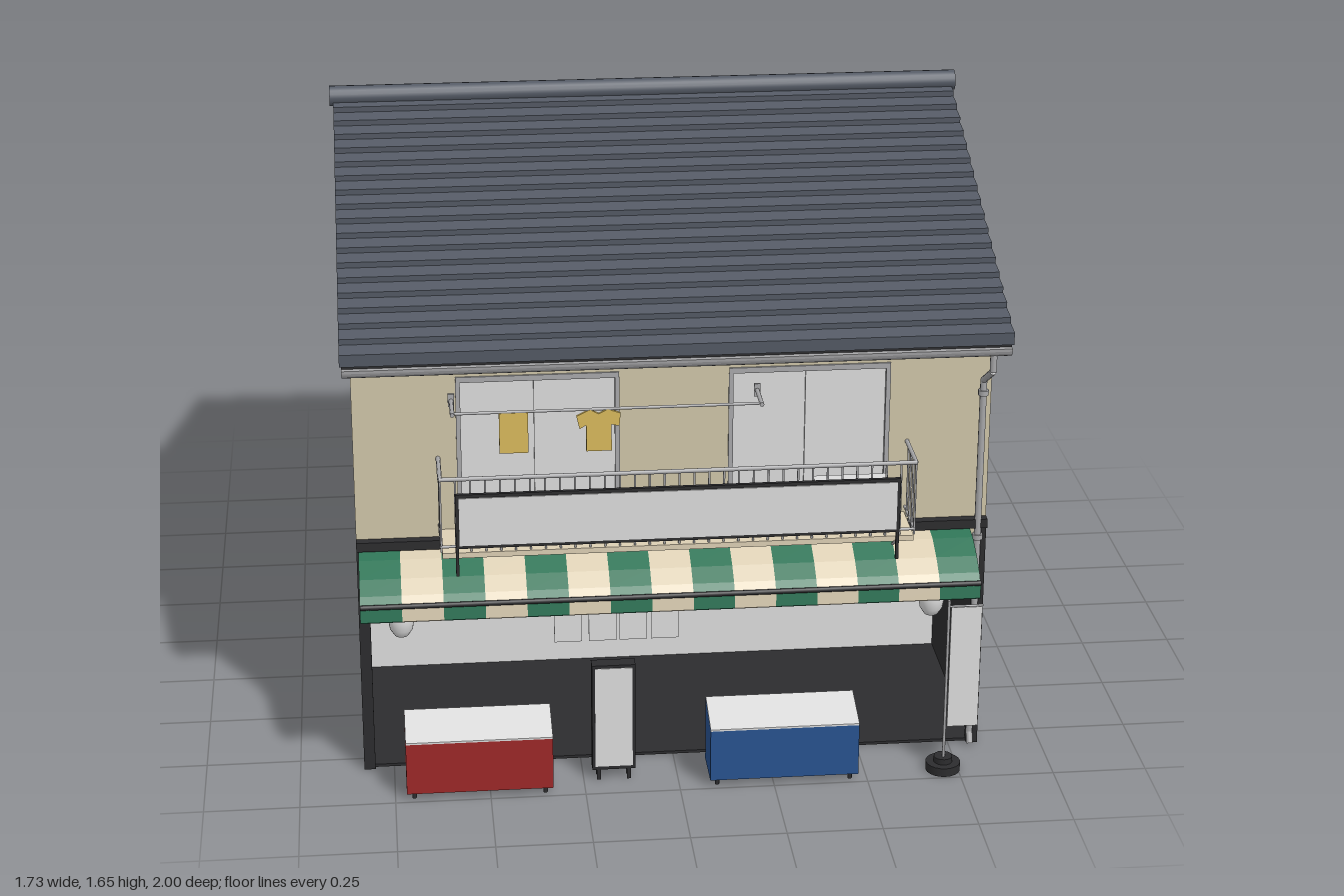
import * as THREE from 'three';

const mat = (name, color, double) => {
  const m = new THREE.MeshStandardMaterial({ color });
  m.name = name;
  if (double) m.side = THREE.DoubleSide;
  return m;
};

export function createModel() {
  const M = {
    wall: mat('beige plaster', 0xcfc5a8),
    white: mat('off white', 0xdcdcdc, true),
    roof: mat('slate tile', 0x555b66),
    dark: mat('charcoal', 0x2c2c2e),
    green: mat('awning green', 0x2f7557),
    cream: mat('awning cream', 0xdccfb4),
    red: mat('red paint', 0x9c2828),
    blue: mat('blue paint', 0x28528f),
    yellow: mat('yellow cloth', 0xd8b95c),
    metal: mat('grey metal', 0xa8a8aa, true),
  };
  const model = new THREE.Group();
  model.name = 'shopHouse';
  const group = (name) => {
    const g = new THREE.Group();
    g.name = name;
    model.add(g);
    return g;
  };
  const add = (parent, name, geo, m) => {
    const mesh = new THREE.Mesh(geo, m);
    mesh.name = name;
    parent.add(mesh);
    return mesh;
  };
  // Box given by its limits on each axis
  const box = (parent, name, m, x0, x1, y0, y1, z0, z1) => {
    const b = add(parent, name, new THREE.BoxGeometry(x1 - x0, y1 - y0, z1 - z0), m);
    b.position.set((x0 + x1) / 2, (y0 + y1) / 2, (z0 + z1) / 2);
    return b;
  };
  // Round rod between two points
  const rod = (parent, name, m, a, b, r, sides = 8) => {
    const A = new THREE.Vector3(...a), B = new THREE.Vector3(...b);
    const c = add(parent, name, new THREE.CylinderGeometry(r, r, A.distanceTo(B), sides), m);
    c.position.copy(A).lerp(B, 0.5);
    c.quaternion.setFromUnitVectors(new THREE.Vector3(0, 1, 0), B.sub(A).normalize());
    return c;
  };
  const toShape = (pts) => new THREE.Shape(pts.map((p) => new THREE.Vector2(p[0], p[1])));
  const rectHole = (x0, x1, y0, y1) => new THREE.Path([[x0, y0], [x0, y1], [x1, y1], [x1, y0]].map((p) => new THREE.Vector2(...p)));
  // Extrude a (z, y) outline along x from x0 to x1
  const extrudeX = (parent, name, m, shape, x0, x1) => {
    const geo = new THREE.ExtrudeGeometry(shape, { depth: x1 - x0, bevelEnabled: false });
    geo.rotateY(-Math.PI / 2).translate(x1, 0, 0);
    return add(parent, name, geo, m);
  };
  const extrudeZ = (parent, name, m, shape, z0, depth) => {
    const geo = new THREE.ExtrudeGeometry(shape, { depth, bevelEnabled: false });
    return add(parent, name, geo.translate(0, 0, z0), m);
  };

  // Walls
  const walls = group('walls');
  const gable = toShape([[-0.86, 0], [0.8, 0], [0.8, 1.25], [-0.03, 1.59], [-0.86, 1.25]]);
  gable.holes.push(rectHole(-0.45, -0.24, 0.88, 1.085));
  extrudeX(walls, 'leftWall', M.wall, gable, 0.82, 0.83);
  extrudeX(walls, 'rightWall', M.wall, gable, -0.83, -0.82);
  box(walls, 'backWall', M.wall, -0.82, 0.82, 0, 1.25, -0.86, -0.85);
  const front = toShape([[-0.82, 0.55], [0.82, 0.55], [0.82, 1.24], [-0.82, 1.24]]);
  for (const s of [-1, 1]) front.holes.push(rectHole(Math.min(s * 0.15, s * 0.555), Math.max(s * 0.15, s * 0.555), 0.7, 1.11));
  extrudeZ(walls, 'frontWall', M.wall, front, 0.79, 0.01);

  // Upper sliding doors
  const doors = group('slidingDoors');
  for (const s of [-0.3525, 0.3525]) {
    box(doors, 'doorBackLeaf', M.white, s - 0.2, s + 0.01, 0.7, 1.105, 0.775, 0.783);
    box(doors, 'doorFrontLeaf', M.white, s - 0.01, s + 0.2, 0.7, 1.105, 0.785, 0.793);
    box(doors, 'doorHead', M.metal, s - 0.21, s + 0.21, 1.1, 1.115, 0.78, 0.805);
    for (const e of [-0.205, 0.205]) box(doors, 'doorJamb', M.metal, s + e - 0.006, s + e + 0.006, 0.7, 1.1, 0.78, 0.805);
  }

  // Shop room
  const shop = group('shopRoom');
  box(shop, 'floor', M.dark, -0.82, 0.82, 0, 0.008, 0.22, 0.8);
  box(shop, 'shopBackWall', M.white, -0.82, 0.82, 0.008, 0.55, 0.22, 0.228);
  box(shop, 'ceiling', M.white, -0.82, 0.82, 0.55, 0.558, 0.22, 0.79);
  for (const s of [-1, 1]) {
    box(shop, 'sideLining', M.dark, s * 0.815 - 0.004, s * 0.815 + 0.004, 0.008, 0.55, 0.228, 0.79);
    box(shop, 'frontPost', M.dark, s * 0.815 - 0.015, s * 0.815 + 0.015, 0, 0.65, 0.79, 0.812);
  }
  box(shop, 'frontBeam', M.dark, -0.83, 0.83, 0.645, 0.67, 0.795, 0.825);

  // Door curtain
  const curtain = group('doorCurtain');
  rod(curtain, 'curtainRod', M.dark, [-0.325, 0.515, 0.77], [0.03, 0.515, 0.77], 0.004);
  for (const x of [-0.278, -0.186, -0.104, -0.02]) box(curtain, 'curtainPanel', M.white, x - 0.037, x + 0.037, 0.335, 0.515, 0.768, 0.772);

  // Roof: dark slab with stepped tile courses on both slopes
  const roof = group('roof');
  const slope = 0.407, ridgeZ = -0.03, rows = 18;
  const slab = toShape([[0.93, 1.19], [0.93, 1.215], [ridgeZ, 1.605], [-1, 1.21], [-1, 1.182], [ridgeZ, 1.582]]);
  extrudeX(roof, 'roofSlab', M.dark, slab, -0.85, 0.85);
  for (const [dir, run] of [[1, 0.965], [-1, 0.968]]) {
    for (let i = 0; i < rows; i++) {
      const a = (i / rows) * run, b = ((i + 1) / rows) * run;
      const at = (d, lift) => [ridgeZ + dir * d, 1.597 - slope * d + lift];
      const pts = [at(a, 0), at(b, 0), at(b + 0.002, 0.034), at(a, 0.018)];
      if (dir > 0) pts.reverse();
      extrudeX(roof, 'tileCourse', M.roof, toShape(pts), -0.855, 0.855);
    }
  }
  rod(roof, 'ridgeTile', M.roof, [-0.865, 1.625, ridgeZ], [0.865, 1.625, ridgeZ], 0.028, 16);

  // Gutter and downpipe
  const drain = group('gutter');
  const trough = add(drain, 'gutterTrough', new THREE.CylinderGeometry(0.022, 0.022, 1.7, 12, 1, true, 0, Math.PI), M.metal);
  trough.geometry.rotateX(Math.PI / 2).rotateZ(-Math.PI / 2).rotateY(Math.PI / 2);
  trough.geometry.computeBoundingBox();
  const pipeX = 0.805;
  const pipe = [[1.18, 0.928], [1.13, 0.928], [1.065, 0.82], [0.04, 0.82], [0.01, 0.835]];
  // Trough rebuilt as a half-round section running along x
  drain.remove(trough);
  const arc = [];
  for (let i = 0; i <= 10; i++) arc.push([0.924 + 0.021 * Math.cos(-Math.PI * i / 10), 1.197 + 0.025 * Math.sin(-Math.PI * i / 10)]);
  extrudeX(drain, 'gutterTrough', M.metal, toShape(arc), -0.85, 0.85);
  for (let i = 0; i < pipe.length - 1; i++) rod(drain, 'downpipe', M.metal, [pipeX, ...pipe[i]], [pipeX, ...pipe[i + 1]], 0.009, 10);
  for (const y of [0.2, 0.62, 1.03]) rod(drain, 'pipeClip', M.metal, [pipeX, y - 0.007, 0.82], [pipeX, y + 0.007, 0.82], 0.014, 10);

  // Balcony
  const balcony = group('balcony');
  box(balcony, 'balconyFloor', M.cream, -0.61, 0.61, 0.675, 0.69, 0.8, 0.95);
  for (const y of [0.705, 0.892]) {
    const r = y > 0.8 ? 0.006 : 0.004;
    rod(balcony, 'frontRail', M.metal, [-0.615, y, 0.942], [0.615, y, 0.942], r);
    for (const s of [-1, 1]) rod(balcony, 'sideRail', M.metal, [s * 0.612, y, 0.8], [s * 0.612, y, 0.942], r);
  }
  for (let i = 0; i <= 32; i++) {
    const x = -0.612 + i * 0.03825;
    rod(balcony, 'baluster', M.metal, [x, 0.69, 0.942], [x, 0.892, 0.942], 0.003, 6);
  }
  for (const s of [-1, 1]) {
    for (const z of [0.83, 0.867, 0.905]) rod(balcony, 'sideBaluster', M.metal, [s * 0.612, 0.69, z], [s * 0.612, 0.892, z], 0.003, 6);
    rod(balcony, 'balconyBrace', M.metal, [s * 0.57, 0.675, 0.94], [s * 0.57, 0.6, 0.82], 0.004);
  }
  box(balcony, 'airUnit', M.white, 0.36, 0.55, 0.7, 0.82, 0.84, 0.9);
  box(balcony, 'awningHousing', M.metal, -0.8, 0.78, 0.56, 0.615, 0.8, 0.845);

  // Blank signboard in front of the balcony
  const sign = group('signboard');
  box(sign, 'signFrame', M.dark, -0.575, 0.57, 0.708, 0.858, 0.955, 0.965);
  box(sign, 'signFace', M.white, -0.566, 0.561, 0.717, 0.849, 0.964, 0.968);
  for (const x of [-0.572, 0.565]) {
    box(sign, 'signLeg', M.dark, x - 0.004, x + 0.004, 0.63, 0.71, 0.955, 0.963);
  }

  // Striped awning
  const awning = group('awning');
  const curve = [[0.8, 0.645], [0.86, 0.636], [0.92, 0.61], [0.962, 0.582], [0.985, 0.556], [0.988, 0.52]];
  const skin = toShape([...curve.map(([z, y]) => [z - 0.003, y - 0.003]), ...curve.slice().reverse()]);
  const stripe = 1.61 / 15;
  for (let i = 0; i < 15; i++) {
    const x = -0.825 + i * stripe;
    extrudeX(awning, i % 2 ? 'creamStripe' : 'greenStripe', i % 2 ? M.cream : M.green, skin, x, x + stripe);
  }
  rod(awning, 'awningBar', M.dark, [-0.825, 0.562, 0.986], [0.785, 0.562, 0.986], 0.007);
  for (const x of [-0.8, 0.765]) rod(awning, 'awningArm', M.dark, [x, 0.562, 0.99], [x, 0.46, 0.81], 0.005);

  // Lanterns
  const bulge = [[0.001, 0.43], [0.018, 0.433], [0.03, 0.452], [0.035, 0.482], [0.03, 0.515], [0.018, 0.535], [0.001, 0.538]];
  for (const x of [-0.72, 0.675]) {
    const lantern = group('lantern');
    lantern.position.set(x, 0, 0.885);
    add(lantern, 'lanternBody', new THREE.LatheGeometry(bulge.map((p) => new THREE.Vector2(...p)), 20), M.white);
    rod(lantern, 'lanternCap', M.dark, [0, 0.533, 0], [0, 0.545, 0], 0.019, 16);
    rod(lantern, 'lanternCord', M.dark, [0, 0.545, 0], [0, 0.62, 0], 0.002, 6);
  }

  // Display chests with sloped lids
  for (const [name, m, x0, x1] of [['redChest', M.red, -0.72, -0.335], ['blueChest', M.blue, 0.08, 0.475]]) {
    const chest = group(name);
    extrudeX(chest, 'chestBody', m, toShape([[0.87, 0.02], [0.993, 0.02], [0.993, 0.165], [0.87, 0.2]]), x0, x1);
    extrudeX(chest, 'chestLid', M.white, toShape([[0.87, 0.2], [0.993, 0.165], [0.993, 0.17], [0.87, 0.205]]), x0, x1);
    for (const x of [x0 + 0.02, x1 - 0.02]) for (const z of [0.885, 0.975]) rod(chest, 'chestFoot', M.dark, [x, 0, z], [x, 0.02, z], 0.006);
  }

  // Standing sign
  const stand = group('standingSign');
  box(stand, 'standCase', M.dark, -0.227, -0.112, 0.03, 0.337, 0.888, 0.925);
  for (const z of [0.886, 0.924]) box(stand, 'standFace', M.white, -0.219, -0.12, 0.04, 0.329, z, z + 0.003);
  for (const x of [-0.21, -0.13]) for (const z of [0.893, 0.92]) box(stand, 'standLeg', M.dark, x - 0.005, x + 0.005, 0, 0.03, z - 0.005, z + 0.005);

  // Banner on a weighted base
  const banner = group('banner');
  rod(banner, 'bannerBase', M.dark, [0.71, 0, 0.95], [0.71, 0.024, 0.95], 0.046, 20);
  rod(banner, 'bannerHub', M.dark, [0.71, 0.024, 0.95], [0.71, 0.04, 0.95], 0.025, 16);
  rod(banner, 'bannerPole', M.metal, [0.71, 0.03, 0.955], [0.71, 0.5, 0.955], 0.004);
  rod(banner, 'bannerArm', M.metal, [0.71, 0.483, 0.955], [0.8, 0.483, 0.955], 0.003);
  box(banner, 'bannerCloth', M.white, 0.716, 0.798, 0.13, 0.48, 0.953, 0.957);

  // Laundry pole
  const laundry = group('laundry');
  rod(laundry, 'laundryPole', M.metal, [-0.58, 1.052, 0.895], [0.22, 1.052, 0.895], 0.004);
  for (const x of [-0.575, 0.215]) {
    rod(laundry, 'poleBracket', M.metal, [x, 1.052, 0.8], [x, 1.052, 0.905], 0.006);
    box(laundry, 'bracketPlate', M.metal, x - 0.008, x + 0.008, 1.035, 1.07, 0.8, 0.806);
  }
  box(laundry, 'towel', M.yellow, -0.457, -0.383, 0.94, 1.05, 0.891, 0.899);
  const shirt = toShape([[-0.235, 0.938], [-0.17, 0.938], [-0.17, 1.01], [-0.15, 1.005], [-0.147, 1.04], [-0.18, 1.052],
    [-0.203, 1.04], [-0.225, 1.052], [-0.26, 1.035], [-0.252, 1.0], [-0.235, 1.01]]);
  extrudeZ(laundry, 'shirt', M.yellow, shirt, 0.891, 0.008);

  return model;
}
